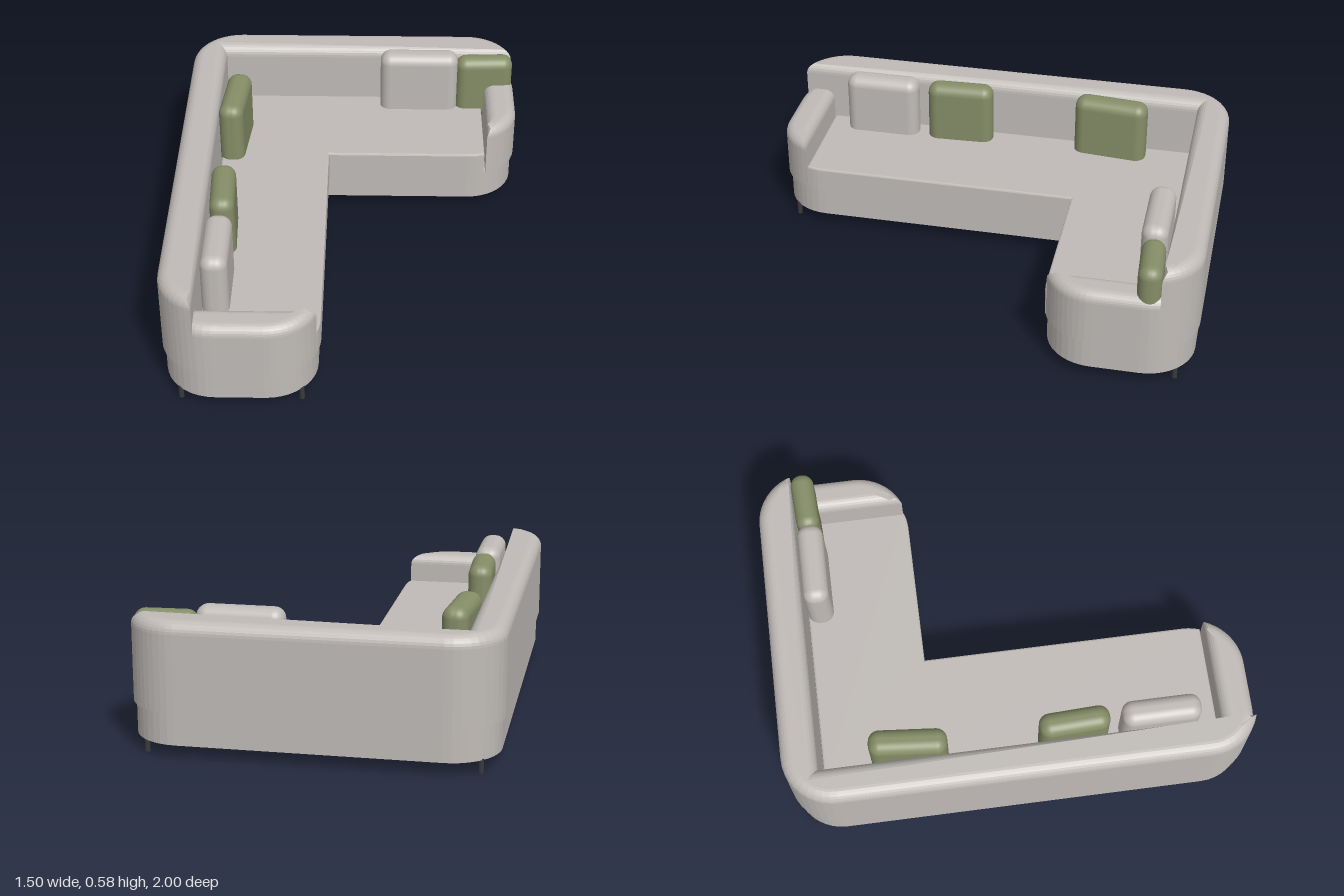
import * as THREE from 'three';
import { RoundedBoxGeometry } from 'three/addons/geometries/RoundedBoxGeometry.js';

const R = 0.22; // plan radius of the rounded corners

// Points of a plan arc around (cx, cz)
function arc(cx, cz, a0, a1, n = 10) {
  return Array.from({ length: n + 1 }, (_, i) => {
    const a = a0 + ((a1 - a0) * i) / n;
    return new THREE.Vector2(cx + R * Math.cos(a), cz + R * Math.sin(a));
  });
}
const pt = (x, z) => new THREE.Vector2(x, z);

// Shrinks a plan outline by d with mitred corners
function inset(points, d) {
  const n = points.length;
  const inward = (a, b) => {
    const e = b.clone().sub(a).normalize();
    return pt(-e.y, e.x);
  };
  return points.map((p, i) => {
    const n1 = inward(points[(i + n - 1) % n], p);
    const n2 = inward(p, points[(i + 1) % n]);
    return n1.clone().add(n2).multiplyScalar(d / (1 + n1.dot(n2))).add(p);
  });
}

// Upholstered block: plan outline raised from y0 to y1, top edge rolled over by radius r
function block(outline, y0, y1, r, steps, shrink = 0) {
  const plan = THREE.ShapeUtils.area(outline) < 0 ? outline.slice().reverse() : outline;
  const rings = [{ p: inset(plan, shrink), y: y0 }];
  for (let i = 0; i <= steps; i++) {
    const a = steps ? (i / steps) * Math.PI / 2 : 0;
    rings.push({ p: inset(plan, shrink + r * (1 - Math.cos(a))), y: y1 - r + r * Math.sin(a) });
  }
  const pos = [];
  const put = (ring, i) => pos.push(ring.p[i].x, ring.y, ring.p[i].y);
  const n = plan.length;
  for (let k = 0; k + 1 < rings.length; k++) {
    const lo = rings[k], hi = rings[k + 1];
    for (let i = 0; i < n; i++) {
      const j = (i + 1) % n;
      put(lo, i); put(hi, i); put(lo, j);
      put(lo, j); put(hi, i); put(hi, j);
    }
  }
  const top = rings[rings.length - 1];
  for (const [a, b, c] of THREE.ShapeUtils.triangulateShape(top.p, [])) {
    put(top, a); put(top, c); put(top, b);
  }
  for (const [a, b, c] of THREE.ShapeUtils.triangulateShape(rings[0].p, [])) {
    put(rings[0], a); put(rings[0], b); put(rings[0], c);
  }
  const geo = new THREE.BufferGeometry();
  geo.setAttribute('position', new THREE.Float32BufferAttribute(pos, 3));
  geo.computeVertexNormals();
  return geo;
}

export function createModel() {
  const fabric = new THREE.MeshStandardMaterial({ color: 0xc0bbb7 });
  fabric.name = 'warm grey fabric';
  const green = new THREE.MeshStandardMaterial({ color: 0x858d67 });
  green.name = 'olive fabric';
  const dark = new THREE.MeshStandardMaterial({ color: 0x3a3a3d });
  dark.name = 'dark metal';

  const sofa = new THREE.Group();
  sofa.name = 'cornerSofa';
  const add = (name, geo, mat) => {
    const mesh = new THREE.Mesh(geo, mat);
    mesh.name = name;
    sofa.add(mesh);
    return mesh;
  };
  const PI = Math.PI;

  // Plinth: full L footprint, slightly set back
  const footprint = [
    ...arc(-0.53, 0.78, PI / 2, PI),
    ...arc(-0.53, -0.78, PI, 1.5 * PI),
    ...arc(0.53, -0.78, 1.5 * PI, 2 * PI),
    ...arc(0.53, -0.58, 0, PI / 2),
    pt(-0.105, -0.36),
    ...arc(-0.325, 0.78, 0, PI / 2),
  ];
  add('base', block(footprint, 0.055, 0.19, 0, 0, 0.012), fabric);

  // Seat
  const seatPlan = [
    pt(-0.592, -0.842), pt(0.603, -0.842),
    ...arc(0.53, -0.58, 1.23, PI / 2, 3),
    pt(-0.105, -0.36),
    ...arc(-0.325, 0.78, 0, 0.345, 3),
    pt(-0.592, 0.855),
  ];
  add('seat', block(seatPlan, 0.19, 0.3, 0.008, 2), fabric);

  // Backrest wrapping both outer sides
  const backPlan = [
    ...arc(-0.53, 0.78, Math.acos(-0.07 / R), PI),
    ...arc(-0.53, -0.78, PI, 1.5 * PI),
    ...arc(0.53, -0.78, 1.5 * PI, 2 * PI - Math.asin(0.07 / R)),
    pt(-0.6, -0.85),
  ];
  add('backrest', block(backPlan, 0.19, 0.56, 0.05, 7), fabric);

  // Low armrests, their inner ends buried in the backrest
  const frontArm = [
    pt(-0.67, 0.86),
    ...arc(-0.325, 0.78, Math.asin(0.08 / R), PI / 2),
    ...arc(-0.53, 0.78, PI / 2, Math.acos(-0.14 / R), 5),
  ];
  add('frontArmrest', block(frontArm, 0.19, 0.427, 0.045, 7), fabric);
  const sideArm = [
    pt(0.612, -0.92),
    ...arc(0.53, -0.78, -Math.asin(0.14 / R), 0, 5),
    ...arc(0.53, -0.58, 0, Math.acos(0.082 / R)),
  ];
  add('sideArmrest', block(sideArm, 0.19, 0.427, 0.045, 7), fabric);

  // Loose cushions: [name, material, x, z, width, depth, top, turn]
  const cushions = [
    ['greyBackCushion', fabric, 0.306, -0.785, 0.36, 0.11, 0.583, 0],
    ['greenBackCushion', green, 0.61, -0.795, 0.262, 0.1, 0.558, 0.05],
    ['greenCornerCushion', green, -0.532, -0.47, 0.11, 0.33, 0.57, -0.09],
    ['greenSideCushion', green, -0.534, 0.23, 0.105, 0.3, 0.57, 0.04],
    ['greySideCushion', fabric, -0.533, 0.597, 0.112, 0.335, 0.57, 0],
  ];
  for (const [name, mat, x, z, w, d, top, turn] of cushions) {
    const h = top - 0.245; // lower edge sinks into the seat
    const c = add(name, new RoundedBoxGeometry(w, h, d, 5, 0.047), mat);
    c.position.set(x, top - h / 2, z);
    c.rotation.y = turn;
  }

  // Short legs
  for (const [x, z] of [[-0.67, 0.925], [-0.18, 0.925], [-0.67, -0.92], [-0.18, -0.425], [0.665, -0.92]]) {
    add('leg', new THREE.CylinderGeometry(0.011, 0.011, 0.06, 10), dark).position.set(x, 0.03, z);
  }
  return sofa;
}
